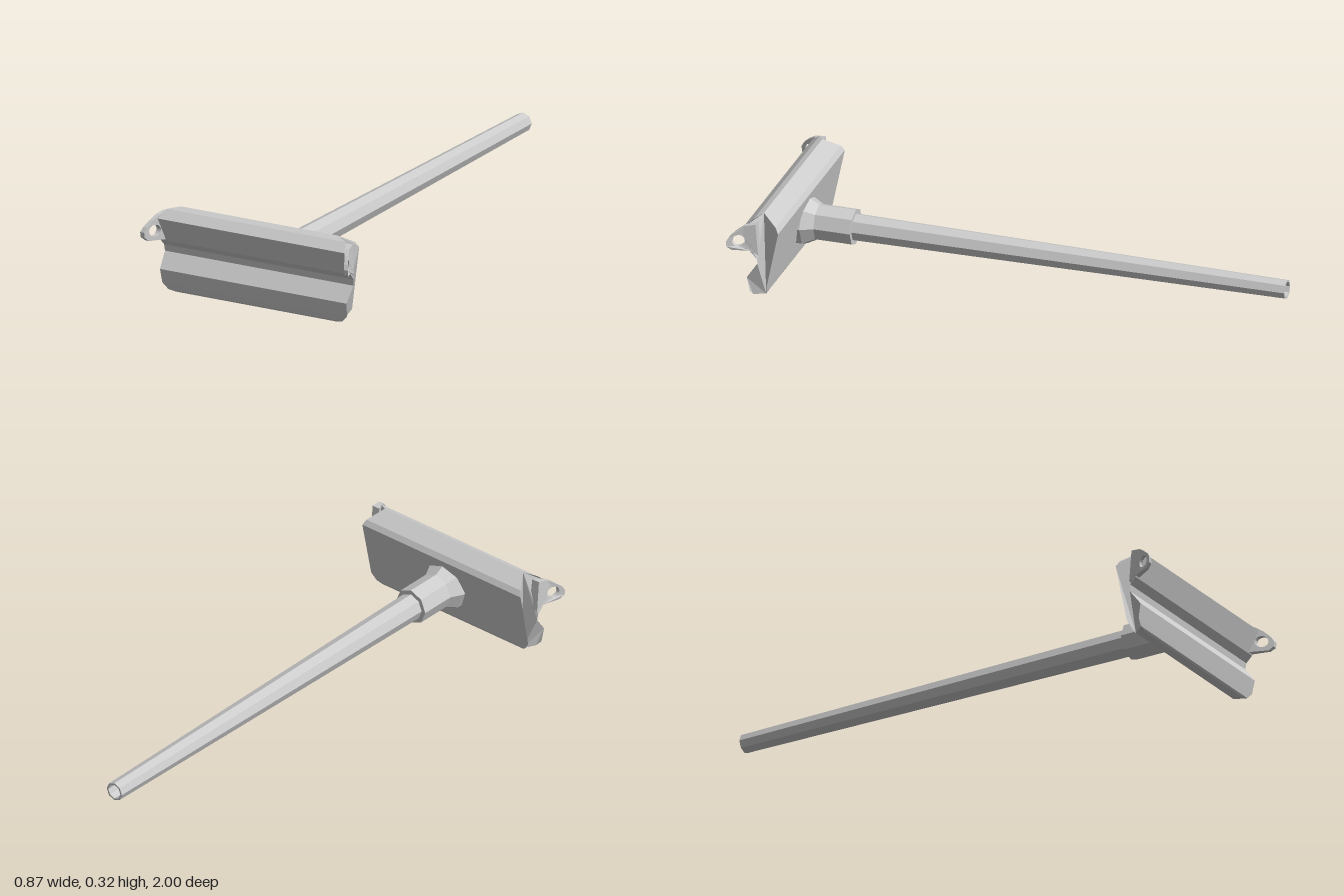
import * as THREE from 'three';

const material = new THREE.MeshStandardMaterial({ color: 0xcccccc, flatShading: true, side: THREE.DoubleSide });

function add(group, name, geometry) {
  const mesh = new THREE.Mesh(geometry, material);
  mesh.name = name;
  group.add(mesh);
  return mesh;
}

// Extrudes a (z, y) outline sideways; place(z, y, s) returns x, s running from 1 to -1
function extrudeSideways(shape, place) {
  const geometry = new THREE.ExtrudeGeometry(shape, { depth: 1, bevelEnabled: false, curveSegments: 8 });
  const p = geometry.attributes.position;
  for (let i = 0; i < p.count; i++) {
    const z = p.getX(i), y = p.getY(i), s = 1 - 2 * p.getZ(i);
    p.setXYZ(i, place(z, y, s), y, z);
  }
  geometry.computeVertexNormals();
  return geometry;
}

const outline = (points) => new THREE.Shape(points.map(([z, y]) => new THREE.Vector2(z, y)));

// Head profile: z, y and half width at that point
const headProfile = [
  [0.88, 0, 0.335], [0.915, 0, 0.335], [0.92, 0.006, 0.365], [0.925, 0.03, 0.388],
  [0.935, 0.083, 0.392], [0.892, 0.14, 0.396], [0.895, 0.165, 0.398], [0.918, 0.19, 0.4],
  [0.95, 0.28, 0.4], [0.915, 0.31, 0.375], [0.89, 0.32, 0.33],
  [0.832, 0.285, 0.368], [0.82, 0.265, 0.378], [0.866, 0.04, 0.375], [0.872, 0.012, 0.355],
];

function headWidth(z, y) {
  let best = headProfile[0], distance = Infinity;
  for (const point of headProfile) {
    const d = Math.hypot(point[0] - z, point[1] - y);
    if (d < distance) { distance = d; best = point; }
  }
  return best[2];
}

// Ear outline with its round eyelet
function earShape() {
  const shape = outline([
    [0.89, 0.18], [0.92, 0.195], [0.982, 0.2], [0.998, 0.215], [1, 0.235],
    [0.99, 0.253], [0.965, 0.277], [0.94, 0.293], [0.9, 0.3],
  ]);
  const hole = new THREE.Path();
  hole.absarc(0.96, 0.236, 0.022, 0, Math.PI * 2, true);
  shape.holes.push(hole);
  return shape;
}

// Ears flare outwards and get thinner towards the front
function earX(side, z, s) {
  const t = THREE.MathUtils.clamp((z - 0.89) / 0.11, 0, 1);
  const outer = 0.397 + 0.04 * t * t;
  const inner = 0.36 + 0.06 * t;
  return side * (outer + inner) / 2 + s * (outer - inner) / 2;
}

// Eight-sided turned part lying along z; points are [radius, z]
function turned(points) {
  const geometry = new THREE.LatheGeometry(points.map(([r, z]) => new THREE.Vector2(r, z)), 8);
  geometry.rotateX(Math.PI / 2);
  geometry.translate(0, 0.152, 0);
  return geometry;
}

export function createModel() {
  const group = new THREE.Group();
  group.name = 'wideHeadTool';

  // Grooved head
  add(group, 'head', extrudeSideways(outline(headProfile), (z, y, s) => s * headWidth(z, y)));

  // Pierced ears at both ends
  for (const side of [1, -1]) {
    add(group, side > 0 ? 'leftEar' : 'rightEar',
      extrudeSideways(earShape(), (z, y, s) => earX(side, z, s)));
  }

  // Socket with a stepped rim and a flared foot against the head
  add(group, 'socket', turned([[0.047, 0.68], [0.052, 0.65], [0.069, 0.65], [0.069, 0.79], [0.093, 0.835], [0.093, 0.865]]));

  // Hollow tapered handle
  add(group, 'handle', turned([[0.029, -0.7], [0.029, -1], [0.036, -1], [0.052, 0.7]]));

  return group;
}
